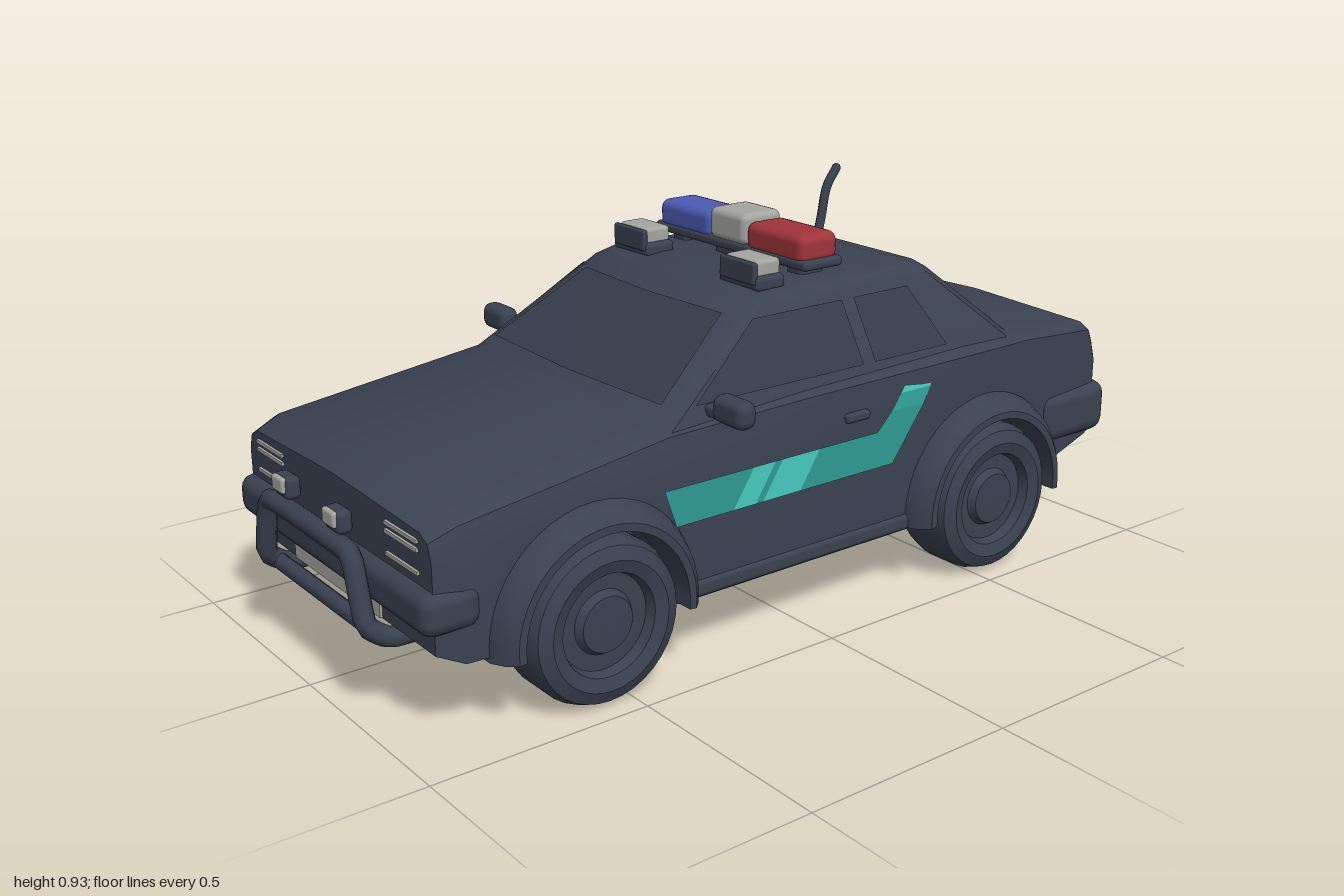
import * as THREE from 'three';
import { toCreasedNormals } from 'three/addons/utils/BufferGeometryUtils.js';
import { RoundedBoxGeometry } from 'three/addons/geometries/RoundedBoxGeometry.js';

const paint = (name, color, side = THREE.FrontSide) =>
  Object.assign(new THREE.MeshStandardMaterial({ color, side }), { name });

// Skin closed rings; ring corners run counter-clockwise seen from the loft direction.
function loft(rings) {
  const pos = [], v = () => new THREE.Vector3();
  const tri = (a, b, c) => {
    const n = v().subVectors(b, a).cross(v().subVectors(c, a));
    if (n.lengthSq() > 1e-14) for (const p of [a, b, c]) pos.push(p.x, p.y, p.z);
  };
  const n = rings[0].length;
  for (let i = 0; i < rings.length - 1; i++) {
    for (let j = 0; j < n; j++) {
      const k = (j + 1) % n, [lo, hi] = [rings[i], rings[i + 1]];
      tri(lo[j], lo[k], hi[k]);
      tri(lo[j], hi[k], hi[j]);
    }
  }
  [rings[0], rings.at(-1)].forEach((ring, end) => {
    const mid = v();
    ring.forEach((p) => mid.addScaledVector(p, 1 / n));
    ring.forEach((p, j) => {
      const q = ring[(j + 1) % n];
      end ? tri(mid, p, q) : tri(mid, q, p);
    });
  });
  const g = new THREE.BufferGeometry();
  g.setAttribute('position', new THREE.Float32BufferAttribute(pos, 3));
  return toCreasedNormals(g, 0.6);
}

// Flat convex panel from its corners.
function panel(points) {
  const pos = [];
  for (let i = 1; i < points.length - 1; i++) pos.push(...points[0], ...points[i], ...points[i + 1]);
  const g = new THREE.BufferGeometry();
  g.setAttribute('position', new THREE.Float32BufferAttribute(pos, 3));
  g.computeVertexNormals();
  return g;
}

const WHEELS = [0.56, -0.55], WHEEL_Y = 0.18, ARCH = 0.205;

// Body stations: z, floor, belt, top edge, half width, half width on top
const STATIONS = [
  [-0.965, 0.25, 0.43, 0.49, 0.385, 0.365], [-0.94, 0.24, 0.44, 0.525, 0.39, 0.375],
  [-0.7, 0.17, 0.45, 0.545, 0.405, 0.39], [-0.5, 0.15, 0.455, 0.545, 0.41, 0.395],
  [0, 0.15, 0.45, 0.54, 0.41, 0.39], [0.36, 0.15, 0.44, 0.53, 0.41, 0.385],
  [0.86, 0.17, 0.41, 0.465, 0.41, 0.39], [0.92, 0.2, 0.39, 0.44, 0.4, 0.38],
];

function bodyGeometry() {
  const zs = STATIONS.map((s) => s[0]);
  for (const w of WHEELS) {
    zs.push(w - ARCH - 0.001, w + ARCH + 0.001);
    for (let k = 0; k <= 14; k++) zs.push(w + ARCH * Math.cos((k * Math.PI) / 14));
  }
  zs.sort((a, b) => a - b);
  return loft(zs.map((z) => {
    const i = Math.min(STATIONS.length - 2, Math.max(0, STATIONS.findIndex((s) => s[0] > z) - 1));
    const a = z >= 0.92 ? STATIONS.length - 2 : i;
    const t = (z - STATIONS[a][0]) / (STATIONS[a + 1][0] - STATIONS[a][0]);
    const [, floor, belt, top, w, wt] = STATIONS[a].map((s, c) => THREE.MathUtils.lerp(s, STATIONS[a + 1][c], t));
    let arch = floor;
    for (const c of WHEELS) {
      const d = Math.abs(z - c);
      if (d <= ARCH + 1e-6) arch = Math.max(floor, WHEEL_Y + Math.sqrt(Math.max(0, ARCH * ARCH - d * d)));
    }
    const half = [[0.28, floor], [0.28, arch], [w, arch], [w, belt], [wt + 0.008, top - 0.015], [wt - 0.02, top]];
    const ring = [[0, floor], ...half, [0, top + 0.012], ...half.map(([x, y]) => [-x, y]).reverse()];
    return ring.map(([x, y]) => new THREE.Vector3(x, y, z));
  }));
}

// Cabin: rounded rectangles rising from the belt to the roof
function cabinGeometry() {
  const rings = [[0.52, 0.385, -0.712, 0.385, 0.385], [0.72, 0.09, -0.475, 0.305, 0.305],
    [0.738, 0.05, -0.45, 0.285, 0.285], [0.747, -0.02, -0.4, 0.23, 0.23]];
  return loft(rings.map(([y, zf, zb, hf, hb]) => {
    const c = 0.035;
    return [[hf, zf - c], [hb, zb + c], [hb - c, zb], [c - hb, zb], [-hb, zb + c], [-hf, zf - c],
      [c - hf, zf], [0, zf + 0.015], [hf - c, zf]].map(([x, z]) => new THREE.Vector3(x, y, z));
  }));
}

export function createModel() {
  const car = new THREE.Group();
  car.name = 'patrolCar';
  const dark = paint('dark body', 0x3a4150);
  const glass = paint('dark glass', 0x363d4b, THREE.DoubleSide);
  const teal = paint('teal stripe', 0x2f9a95, THREE.DoubleSide);
  const brightTeal = paint('bright teal stripe', 0x48cabf, THREE.DoubleSide);
  const white = paint('lamp white', 0xa5a5a2);
  const blue = paint('beacon blue', 0x4d5ab4);
  const red = paint('beacon red', 0xa0343b);
  const tail = paint('tail lamp red', 0x752f33);

  const add = (name, geo, mat, x = 0, y = 0, z = 0) => {
    const m = new THREE.Mesh(geo, mat);
    m.name = name;
    m.position.set(x, y, z);
    car.add(m);
    return m;
  };
  const box = (name, mat, [w, h, d], at, r = 0.01) =>
    add(name, new RoundedBoxGeometry(w, h, d, 2, r), mat, ...at);
  const plate = (name, mat, size, at) => add(name, new THREE.BoxGeometry(...size), mat, ...at);
  const tube = (name, pts, r, tension = 0.2) => add(name, new THREE.TubeGeometry(
    new THREE.CatmullRomCurve3(pts.map((p) => new THREE.Vector3(...p)), false, 'catmullrom', tension), 48, r, 10), dark);

  add('body', bodyGeometry(), dark);
  add('cabin', cabinGeometry(), dark);
  box('frontBumper', dark, [0.84, 0.09, 0.13], [0, 0.285, 0.885], 0.03);
  box('rearBumper', dark, [0.82, 0.13, 0.24], [0, 0.31, -0.88], 0.035);
  plate('lowerGrille', white, [0.38, 0.04, 0.008], [0, 0.222, 0.922]);

  // Windscreen halves and rear window
  const frontZ = (y) => 0.385 - (y - 0.52) * 1.475 + 0.006;
  const rearZ = (y) => -0.712 + (y - 0.52) * 1.185 - 0.006;
  for (const s of [-1, 1]) {
    add('windscreen', panel([[0, 0.56, frontZ(0.56) + 0.015], [s * 0.325, 0.56, frontZ(0.56)],
      [s * 0.255, 0.705, frontZ(0.705)], [0, 0.705, frontZ(0.705) + 0.015]]), glass);
  }
  add('rearWindow', panel([[-0.32, 0.57, rearZ(0.57)], [0.32, 0.57, rearZ(0.57)],
    [0.255, 0.705, rearZ(0.705)], [-0.255, 0.705, rearZ(0.705)]]), glass);

  // Wheels and flared arches turned on the axle line
  const spin = (pts, start, sweep) => toCreasedNormals(new THREE.LatheGeometry(
    pts.map((p) => new THREE.Vector2(...p)), sweep > 6 ? 36 : 24, start, sweep).rotateZ(-Math.PI / 2), 0.7);
  const tyre = spin([[0, 0.31], [0.14, 0.3], [0.17, 0.315], [0.18, 0.345], [0.18, 0.425], [0.168, 0.455],
    [0.14, 0.467], [0.112, 0.458], [0.105, 0.435], [0.07, 0.435], [0.06, 0.452], [0, 0.455]], 0, Math.PI * 2);
  const flare = spin([[0.25, 0.38], [0.25, 0.41], [0.235, 0.443], [0.215, 0.463], [0.198, 0.463],
    [0.195, 0.37]], Math.PI - 0.1, Math.PI + 0.2);
  const flareMat = paint('dark trim', 0x3a4150, THREE.DoubleSide);

  // Stripe panels in (z, y), bent inward above the belt
  const sideX = (y) => (y <= 0.45 ? 0.414 : 0.414 - (y - 0.45) * 0.2);
  const stripes = [
    [teal, [[0.39, 0.41], [0.36, 0.325], [0.21, 0.325], [0.155, 0.41]]],
    [brightTeal, [[0.155, 0.41], [0.21, 0.325], [0.15, 0.325], [0.095, 0.41]]],
    [teal, [[0.095, 0.41], [0.15, 0.325], [0.13, 0.325], [0.075, 0.41]]],
    [brightTeal, [[0.075, 0.41], [0.13, 0.325], [0.025, 0.325], [-0.03, 0.41]]],
    [teal, [[-0.03, 0.41], [0.025, 0.325], [-0.25, 0.325], [-0.2, 0.41]]],
    [teal, [[-0.2, 0.41], [-0.25, 0.325], [-0.343, 0.45], [-0.24, 0.45]]],
    [teal, [[-0.24, 0.45], [-0.343, 0.45], [-0.368, 0.485], [-0.277, 0.485]]],
    [brightTeal, [[-0.277, 0.485], [-0.368, 0.485], [-0.402, 0.53], [-0.322, 0.53]]],
  ];
  const cabinX = (y) => 0.385 - (y - 0.52) * 0.4 + 0.005;
  const sideWindows = [
    [[0.28, 0.56], [0.085, 0.7], [-0.17, 0.7], [-0.19, 0.56]],
    [[-0.225, 0.56], [-0.205, 0.7], [-0.37, 0.7], [-0.45, 0.56]],
  ];

  for (const s of [-1, 1]) {
    for (const z of WHEELS) {
      const turn = s > 0 ? 0 : Math.PI;
      add('wheel', tyre, dark, 0, WHEEL_Y, z).rotation.y = turn;
      add('wheelArch', flare, flareMat, 0, WHEEL_Y, z).rotation.y = turn;
    }
    for (const [mat, pts] of stripes) add('sideStripe', panel(pts.map(([z, y]) => [s * sideX(y), y, z])), mat);
    for (const pts of sideWindows) add('sideWindow', panel(pts.map(([z, y]) => [s * cabinX(y), y, z])), glass);
    box('sill', dark, [0.03, 0.04, 0.66], [s * 0.402, 0.17, 0], 0.012);
    box('doorHandle', dark, [0.02, 0.022, 0.07], [s * 0.41, 0.46, -0.14], 0.008);

    // Door mirror on a short arm
    box('mirrorArm', dark, [0.07, 0.025, 0.03], [s * 0.4, 0.545, 0.24], 0.008);
    box('mirror', dark, [0.1, 0.06, 0.05], [s * 0.45, 0.56, 0.24], 0.02);

    // Headlamp slats and tail lamps
    for (const [y, z] of [[0.42, 0.922], [0.402, 0.922], [0.355, 0.922]])
      plate('headlampSlat', white, [0.125, 0.008, 0.008], [s * 0.29, y, z]);
    plate('tailLamp', tail, [0.16, 0.06, 0.008], [s * 0.285, 0.425, -0.967]);

    // Auxiliary lamp on the guard bar
    box('fogLampShell', dark, [0.065, 0.05, 0.035], [s * 0.115, 0.4, 0.965], 0.012);
    box('fogLampLens', white, [0.05, 0.034, 0.014], [s * 0.115, 0.407, 0.983], 0.006);

    // Roof spotlight with a dark front cover
    box('spotlightFoot', dark, [0.14, 0.035, 0.08], [s * 0.2, 0.752, -0.01], 0.012);
    box('spotlight', white, [0.11, 0.045, 0.07], [s * 0.2, 0.78, -0.012], 0.01);
    box('spotlightCover', dark, [0.12, 0.05, 0.014], [s * 0.2, 0.775, 0.028], 0.006);
    box('lightBarFoot', dark, [0.05, 0.04, 0.07], [s * 0.21, 0.755, -0.155], 0.01);

    // Coloured beacons
    box('beacon', s > 0 ? red : blue, [0.2, 0.07, 0.11], [s * 0.163, 0.806, -0.155], 0.022);
  }

  // Light bar centre
  box('lightBarBase', dark, [0.55, 0.024, 0.115], [0, 0.774, -0.155], 0.01);
  box('lightBarStand', dark, [0.13, 0.03, 0.08], [0, 0.755, -0.155], 0.01);
  box('beaconCentre', white, [0.132, 0.075, 0.115], [0, 0.818, -0.155], 0.018);

  // Guard bar
  tube('guardBar', [[-0.23, 0.175, 0.84], [-0.235, 0.18, 0.93], [-0.225, 0.215, 0.975], [-0.195, 0.33, 0.978],
    [-0.165, 0.355, 0.978], [0.165, 0.355, 0.978], [0.195, 0.33, 0.978], [0.225, 0.215, 0.975],
    [0.235, 0.18, 0.93], [0.23, 0.175, 0.84]], 0.022);
  tube('guardCrossBar', [[-0.23, 0.19, 0.95], [0.23, 0.19, 0.95]], 0.018);

  // Antenna
  tube('antenna', [[0, 0.74, -0.375], [0, 0.8, -0.39], [0, 0.87, -0.405], [0, 0.915, -0.435]], 0.011, 0.5);
  add('antennaTip', new THREE.SphereGeometry(0.011, 10, 8), dark, 0, 0.915, -0.435);
  add('antennaFoot', new THREE.CylinderGeometry(0.012, 0.028, 0.03, 12), dark, 0, 0.757, -0.375);
  return car;
}
